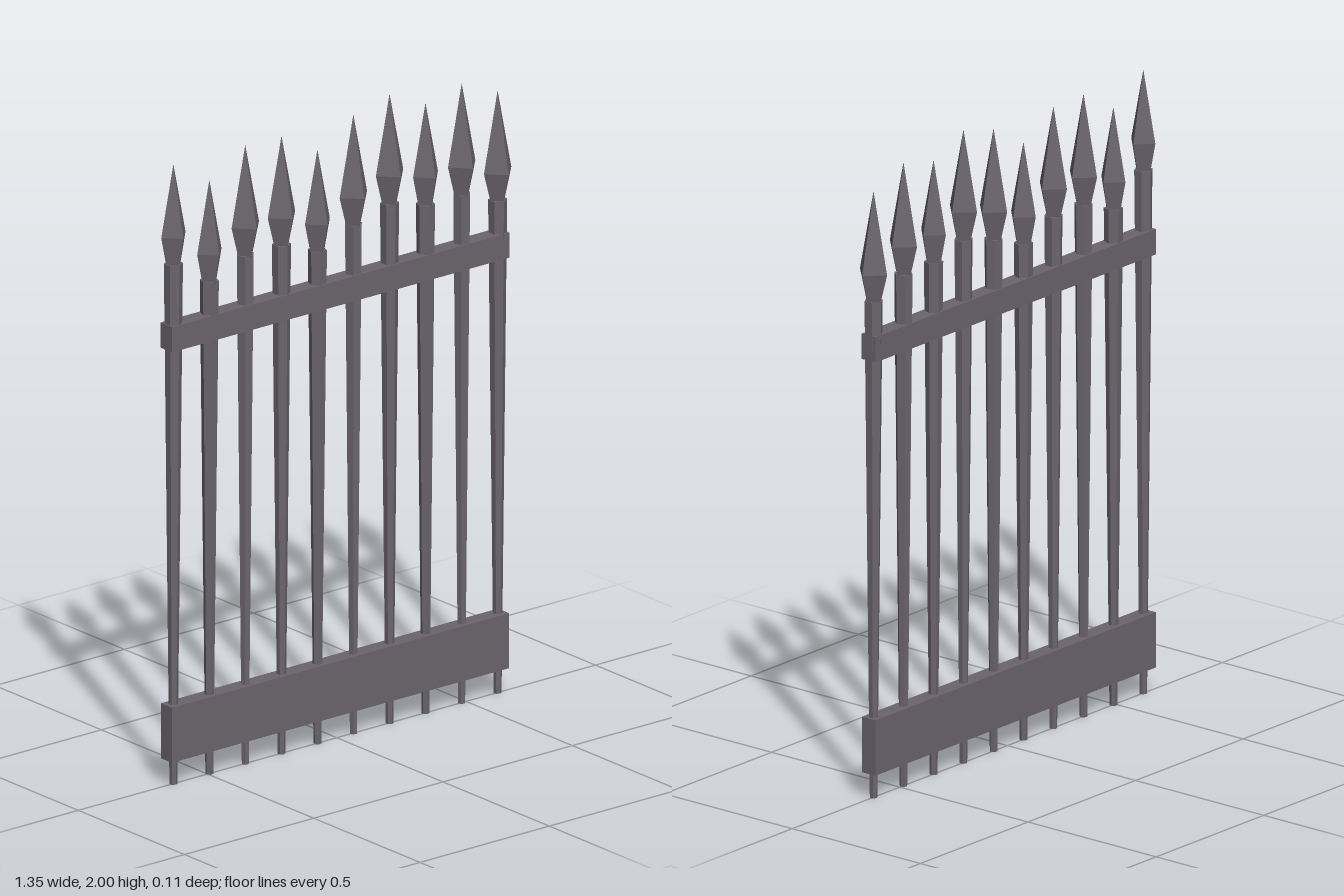
import * as THREE from 'three';

export function createModel() {
  const group = new THREE.Group();
  group.name = 'spearFence';
  const iron = new THREE.MeshStandardMaterial({ color: 0x6b646d, flatShading: true });
  iron.name = 'dark iron';

  const add = (geometry, name, x, y, parent = group) => {
    const mesh = new THREE.Mesh(geometry, iron);
    mesh.name = name;
    mesh.position.set(x, y, 0);
    parent.add(mesh);
    return mesh;
  };

  // Horizontal rails
  add(new THREE.BoxGeometry(1.304, 0.175, 0.052), 'bottomRail', -0.007, 0.167);
  add(new THREE.BoxGeometry(1.304, 0.08, 0.054), 'topRail', -0.007, 1.425);

  // Spears: x, head base, widest height, tip, half width
  const spears = [
    [-0.632, 1.655, 1.745, 1.97, 0.047],
    [-0.493, 1.57, 1.66, 1.888, 0.047],
    [-0.354, 1.62, 1.713, 1.967, 0.053],
    [-0.214, 1.62, 1.713, 1.963, 0.053],
    [-0.075, 1.57, 1.66, 1.888, 0.048],
    [0.064, 1.62, 1.713, 1.967, 0.053],
    [0.204, 1.655, 1.75, 2.0, 0.053],
    [0.343, 1.62, 1.713, 1.94, 0.048],
    [0.483, 1.62, 1.713, 1.97, 0.053],
    [0.622, 1.57, 1.66, 1.915, 0.053],
  ];

  spears.forEach(([x, base, wide, tip, r], i) => {
    const spear = new THREE.Group();
    spear.name = 'spear' + (i + 1);
    spear.position.x = x;
    group.add(spear);

    // Tapered six-sided shaft, each turned a little differently
    const shaft = new THREE.CylinderGeometry(0.029, 0.012, base, 6);
    add(shaft, 'shaft', 0, base / 2, spear).rotation.y = i * 0.7;

    // Four-sided spearhead
    const profile = [[0, base - 0.005], [0.027, base - 0.005], [r, wide], [0, tip]]
      .map(([px, py]) => new THREE.Vector2(px, py));
    add(new THREE.LatheGeometry(profile, 4), 'spearhead', 0, 0, spear);
  });

  return group;
}
